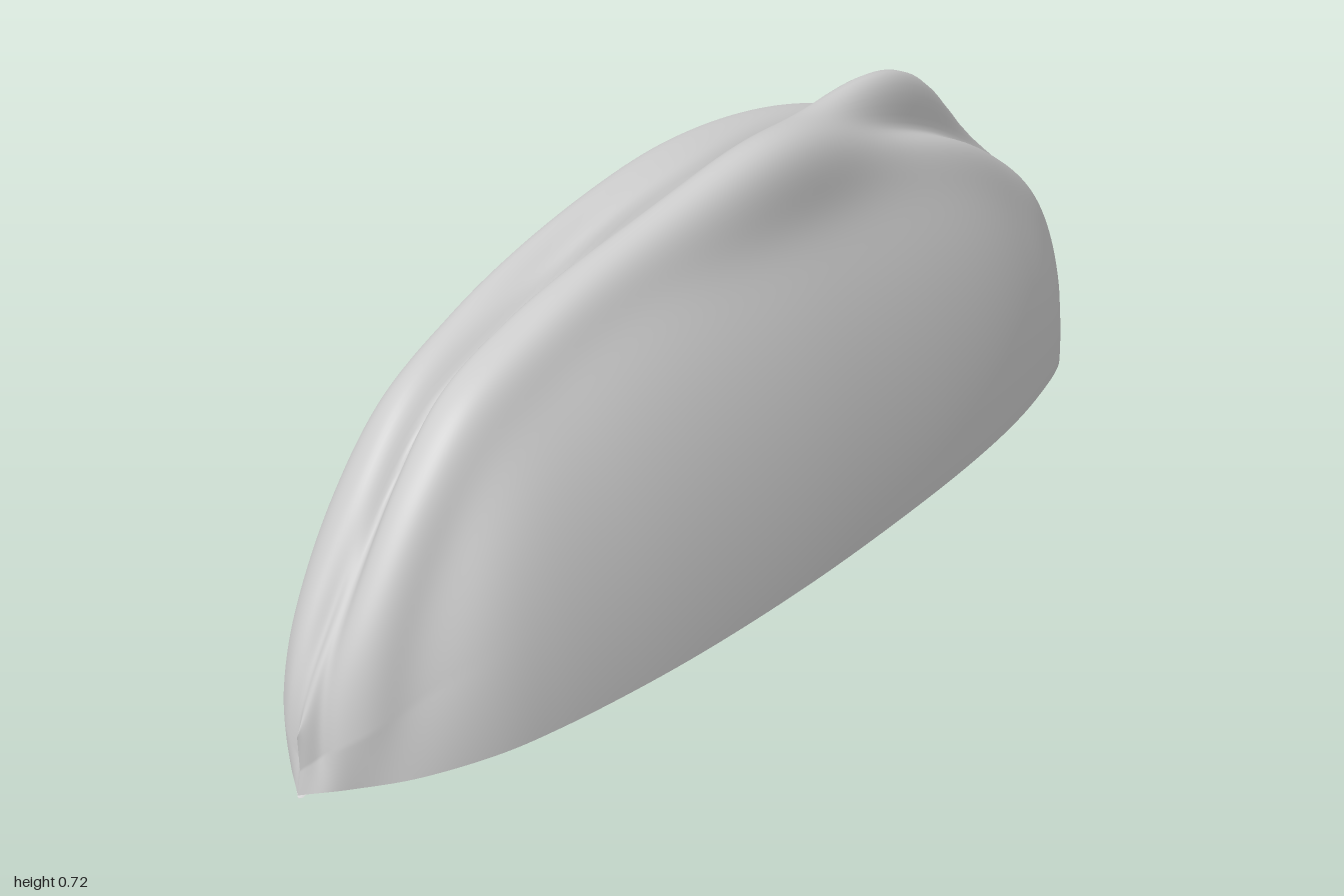
import * as THREE from 'three';

const RINGS = 180, ARC = 128;

// Cross-section spine: (half width, top height, z)
const spine = new THREE.CatmullRomCurve3([
  [0, 0.10, -1], [0.06, 0.19, -0.97], [0.12, 0.30, -0.9], [0.18, 0.42, -0.8], [0.22, 0.52, -0.65],
  [0.245, 0.59, -0.5], [0.262, 0.635, -0.3], [0.27, 0.66, 0], [0.267, 0.65, 0.2], [0.255, 0.62, 0.4],
  [0.238, 0.58, 0.55], [0.212, 0.52, 0.7], [0.183, 0.43, 0.8], [0.125, 0.30, 0.9], [0.06, 0.20, 0.96], [0, 0.10, 1],
].map(p => new THREE.Vector3(...p)));

// Soft folds: x, z, spread in x, spread in z, height
const folds = [
  [0.065, 0.0, 0.04, 0.2, 0.075],
  [0.055, 0.5, 0.03, 0.35, 0.025],
  [0.10, -0.55, 0.03, 0.25, 0.02],
  [-0.095, -0.15, 0.038, 0.35, 0.055],
  [-0.075, 0.5, 0.035, 0.3, 0.02],
  [0.015, -0.4, 0.027, 0.16, 0.085],
  [0.058, -0.5, 0.017, 0.18, -0.03],
  [-0.05, -0.6, 0.018, 0.15, -0.025],
  [-0.03, 0.93, 0.012, 0.06, -0.02],
  [-0.045, 0.4, 0.014, 0.12, -0.018],
  [0.11, 0.85, 0.03, 0.1, -0.01],
];
const bell = (d, s) => Math.exp(-d * d / (2 * s * s));

function foldHeight(x, z) {
  let d = 0;
  for (const [fx, fz, sx, sz, amp] of folds) d += amp * bell(x - fx, sx) * bell(z - fz, sz);
  // wandering seam along the crest
  const seam = -0.008 + 0.014 * Math.sin(7 * z + 0.5);
  return d - 0.032 * bell(x - seam, 0.014) * (1 - 0.6 * Math.abs(z) ** 6);
}

const rimHeight = z => 0.05 - 0.045 * Math.abs(z) ** 10;

// One point of the shell: ring at s, angle a from +x over the crest to -x
function shellPoint(s, a) {
  const { x: w, y: top, z } = spine.getPoint(s);
  const rim = rimHeight(z), lift = Math.sin(a);
  const local = w * Math.cos(a);
  const x = local - 0.022 * Math.abs(z) ** 8;
  const p = new THREE.Vector3(x, rim + (top - rim) * lift, z);
  const out = new THREE.Vector3(local / 0.073, p.y / 0.44, z).normalize();
  p.addScaledVector(out, foldHeight(x, z) * Math.min(1, lift * 2.5));
  p.z = THREE.MathUtils.clamp(p.z, -1, 1);
  return p;
}

// Grid surface from a point function, columns running from +x to -x
function gridSurface(rows, cols, pointAt, flip) {
  const pos = [], index = [];
  for (let i = 0; i <= rows; i++)
    for (let j = 0; j <= cols; j++) pos.push(...pointAt(i / rows, j / cols).toArray());
  for (let i = 0; i < rows; i++)
    for (let j = 0; j < cols; j++) {
      const a = i * (cols + 1) + j, b = a + 1, c = a + cols + 1, d = c + 1;
      index.push(...(flip ? [a, c, b, b, c, d] : [a, b, c, b, d, c]));
    }
  const g = new THREE.BufferGeometry();
  g.setAttribute('position', new THREE.Float32BufferAttribute(pos, 3));
  g.setIndex(index);
  g.computeVertexNormals();
  return g;
}

export function createModel() {
  const group = new THREE.Group();
  group.name = 'foldedShell';
  const material = new THREE.MeshStandardMaterial({ color: 0xcccccc, side: THREE.DoubleSide });

  // Domed shell with folds on its crest
  const shell = new THREE.Mesh(gridSurface(RINGS, ARC, (s, t) => shellPoint(s, t * Math.PI), false), material);
  shell.name = 'shell';

  // Shallow keeled underside
  const underside = new THREE.Mesh(gridSurface(RINGS, 2, (s, t) => {
    const p = shellPoint(s, t < 0.5 ? 0 : Math.PI);
    if (t === 0.5) {
      p.x = -0.022 * Math.abs(p.z) ** 8;
      p.y = Math.min(rimHeight(p.z), 0.02 - 0.015 * p.z);
    }
    if (Math.abs(p.z) > 0.995) p.y = Math.max(0, p.y - 0.005);
    return p;
  }, true), material);
  underside.name = 'underside';

  group.add(shell, underside);
  return group;
}
